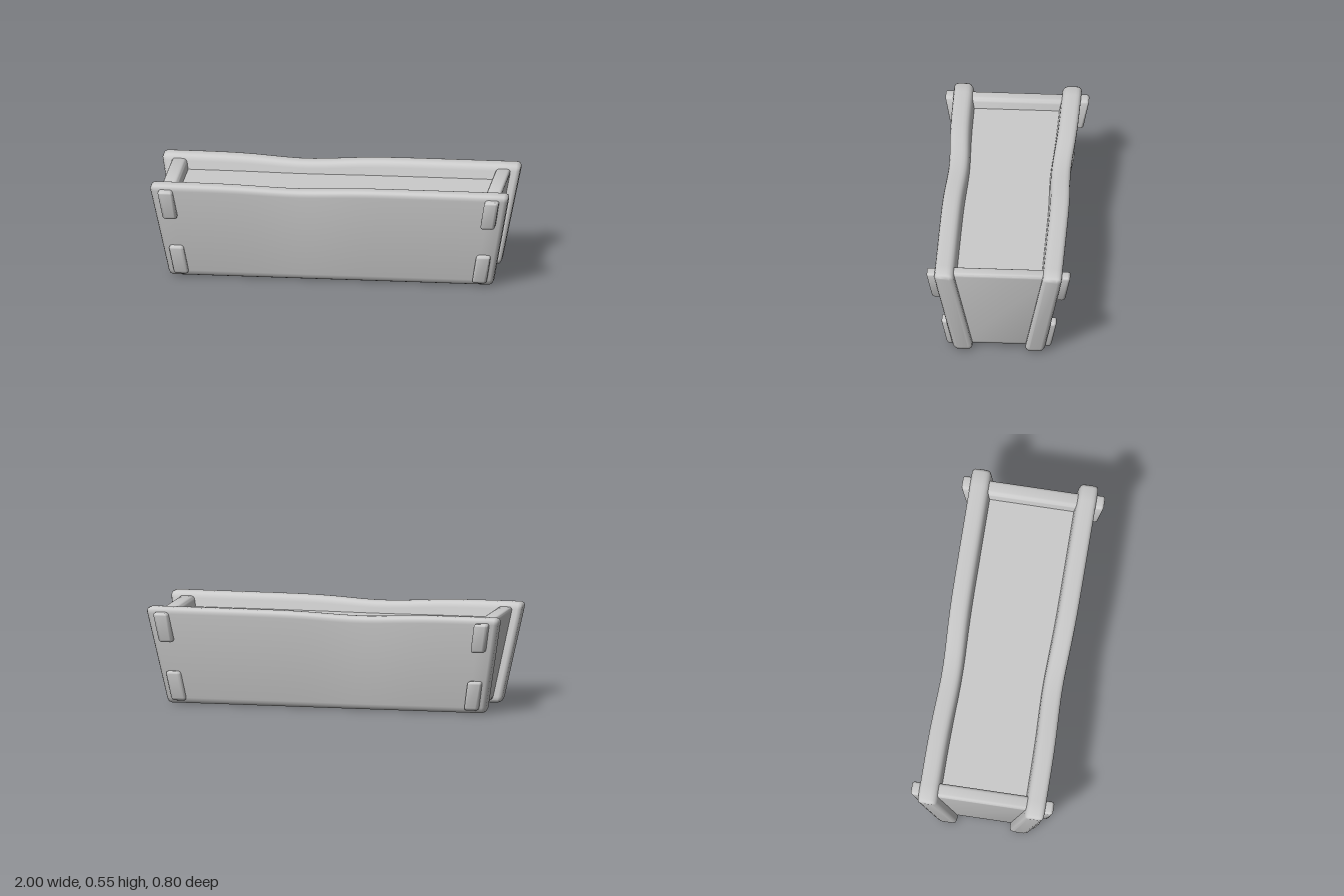
import * as THREE from 'three';
import { toCreasedNormals } from 'three/addons/utils/BufferGeometryUtils.js';
import { RoundedBoxGeometry } from 'three/addons/geometries/RoundedBoxGeometry.js';

const wood = new THREE.MeshStandardMaterial({ color: 0xcccccc });

// Moves every vertex by a rule, then smooths all but the sharp edges
function reshape(geometry, rule) {
  const pos = geometry.attributes.position;
  const v = new THREE.Vector3();
  for (let i = 0; i < pos.count; i++) {
    rule(v.fromBufferAttribute(pos, i));
    pos.setXYZ(i, v.x, v.y, v.z);
  }
  return toCreasedNormals(geometry, 0.9);
}

// Upright board with a rounded section, running along z and centred on it
function boardGeometry(thick, bottom, top, length, radius, steps) {
  const h = thick / 2, r = radius, bevel = 0.022;
  const s = new THREE.Shape();
  s.moveTo(-h + r, bottom);
  s.lineTo(h - r, bottom);
  s.quadraticCurveTo(h, bottom, h, bottom + r);
  s.lineTo(h, top - r);
  s.quadraticCurveTo(h, top, h - r, top);
  s.lineTo(-h + r, top);
  s.quadraticCurveTo(-h, top, -h, top - r);
  s.lineTo(-h, bottom + r);
  s.quadraticCurveTo(-h, bottom, -h + r, bottom);
  const depth = length - 2 * bevel;
  const g = new THREE.ExtrudeGeometry(s, {
    depth, steps, curveSegments: 4, bevelEnabled: true, bevelSegments: 2,
    bevelSize: bevel, bevelThickness: bevel, bevelOffset: -bevel,
  });
  return g.translate(0, 0, -depth / 2);
}

export function createModel() {
  const group = new THREE.Group();
  const add = (name, geometry) => {
    const mesh = new THREE.Mesh(geometry, wood);
    mesh.name = name;
    group.add(mesh);
    return mesh;
  };

  // Long planks: leaning outwards, wider at the top, with a worn wavy upper edge
  for (const s of [1, -1]) {
    const g = boardGeometry(0.108, 0.005, 0.556, 2, 0.035, 24).rotateY(Math.PI / 2);
    add(s > 0 ? 'frontPlank' : 'backPlank', reshape(g, (v) => {
      const t = v.y / 0.556;
      const dip = Math.exp(-(((v.x + 0.2) / 0.27) ** 2));
      v.z += s * (0.195 + 0.2 * v.y - 0.016 * dip * t);
      v.x *= 0.9 + 0.1 * Math.min(1, t * 1.04);
      v.y -= 0.018 * dip * t;
    }));
  }

  // End boards: leaning outwards, their ends buried in the long planks
  for (const s of [1, -1]) {
    const g = boardGeometry(0.085, 0.022, 0.533, 0.61, 0.022, 1);
    add(s > 0 ? 'leftEndBoard' : 'rightEndBoard', reshape(g, (v) => {
      v.x += s * (0.81 + 0.18 * v.y);
      v.z *= (0.195 + 0.2 * v.y) / 0.305;
    }));
  }

  // Tenons of the end boards showing through the long planks
  for (const sx of [1, -1]) for (const sz of [1, -1]) {
    for (const [level, x, y, z] of [['upper', 0.9, 0.447, 0.335], ['lower', 0.845, 0.11, 0.255]]) {
      const g = new RoundedBoxGeometry(0.08, 0.168, 0.1, 2, 0.016);
      const name = level + (sz > 0 ? 'Front' : 'Back') + (sx > 0 ? 'Left' : 'Right') + 'Tenon';
      add(name, reshape(g, (v) => {
        v.x += sx * (x + 0.17 * v.y);
        v.z += sz * (z + 0.2 * v.y);
        v.y += y;
      }));
    }
  }

  // Soil filling and floor panel
  add('soil', new THREE.BoxGeometry(1.76, 0.02, 0.54)).position.y = 0.465;
  add('floor', new THREE.BoxGeometry(1.62, 0.025, 0.4)).position.y = 0.053;

  return group;
}
